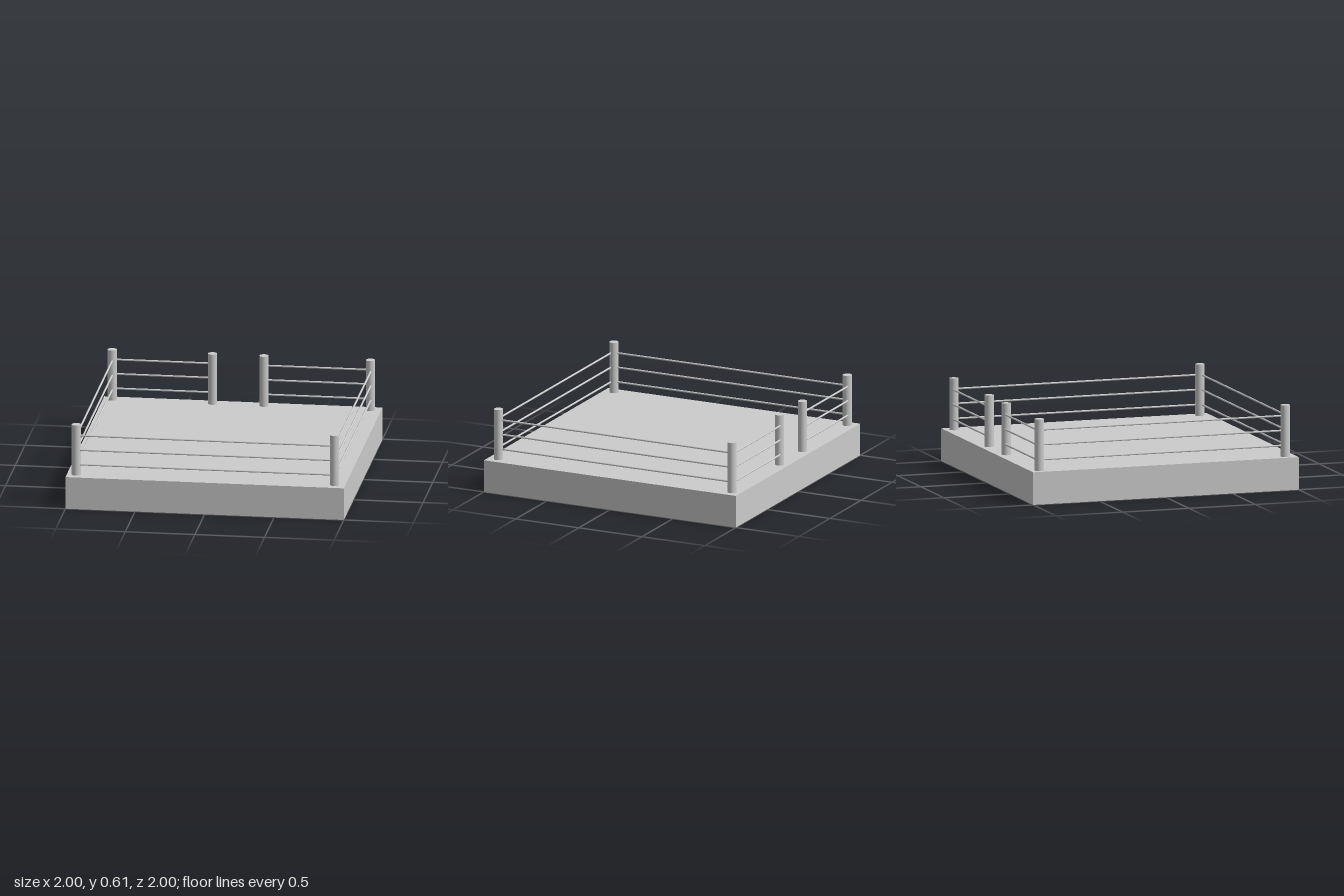
import * as THREE from 'three';

const BASE_H = 0.235, POST_TOP = 0.607, POST_R = 0.033, ROPE_R = 0.007;
const LEFT = 0.923, RIGHT = -0.933, FRONT = 0.921, BACK = -0.931;
const GATE_LEFT = 0.157, GATE_RIGHT = -0.212;
const ROPE_HEIGHTS = [0.313, 0.421, 0.528];

export function createModel() {
  const model = new THREE.Group();
  model.name = 'ropedRing';
  const material = new THREE.MeshStandardMaterial({ color: 0xcccccc });

  const add = (name, geometry, x, y, z) => {
    const mesh = new THREE.Mesh(geometry, material);
    mesh.name = name;
    mesh.position.set(x, y, z);
    model.add(mesh);
    return mesh;
  };

  // Raised square platform
  add('platform', new THREE.BoxGeometry(2, BASE_H, 2), 0, BASE_H / 2, 0);

  // Four corner posts and two gate posts at the back
  const postGeometry = new THREE.CylinderGeometry(POST_R, POST_R, POST_TOP - BASE_H, 32);
  const posts = {
    frontLeftPost: [LEFT, FRONT],
    frontRightPost: [RIGHT, FRONT],
    backLeftPost: [LEFT, BACK],
    backRightPost: [RIGHT, BACK],
    gateLeftPost: [GATE_LEFT, BACK],
    gateRightPost: [GATE_RIGHT, BACK],
  };
  for (const [name, [x, z]] of Object.entries(posts)) {
    add(name, postGeometry, x, (BASE_H + POST_TOP) / 2, z);
  }

  // Three ropes per span, slightly off the post centres
  const spans = [
    ['frontRope', RIGHT, 0.933, LEFT, 0.933],
    ['leftRope', 0.928, BACK, 0.928, FRONT],
    ['rightRope', -0.93, BACK, -0.93, FRONT],
    ['backLeftRope', GATE_LEFT, -0.946, LEFT, -0.946],
    ['backRightRope', RIGHT, -0.946, GATE_RIGHT, -0.946],
  ];
  for (const [name, x1, z1, x2, z2] of spans) {
    const alongX = z1 === z2;
    const geometry = new THREE.CylinderGeometry(ROPE_R, ROPE_R, Math.hypot(x2 - x1, z2 - z1), 16);
    if (alongX) geometry.rotateZ(Math.PI / 2);
    else geometry.rotateX(Math.PI / 2);
    ROPE_HEIGHTS.forEach((y, i) => {
      add(`${name}${i + 1}`, geometry, (x1 + x2) / 2, y, (z1 + z2) / 2);
    });
  }

  return model;
}
